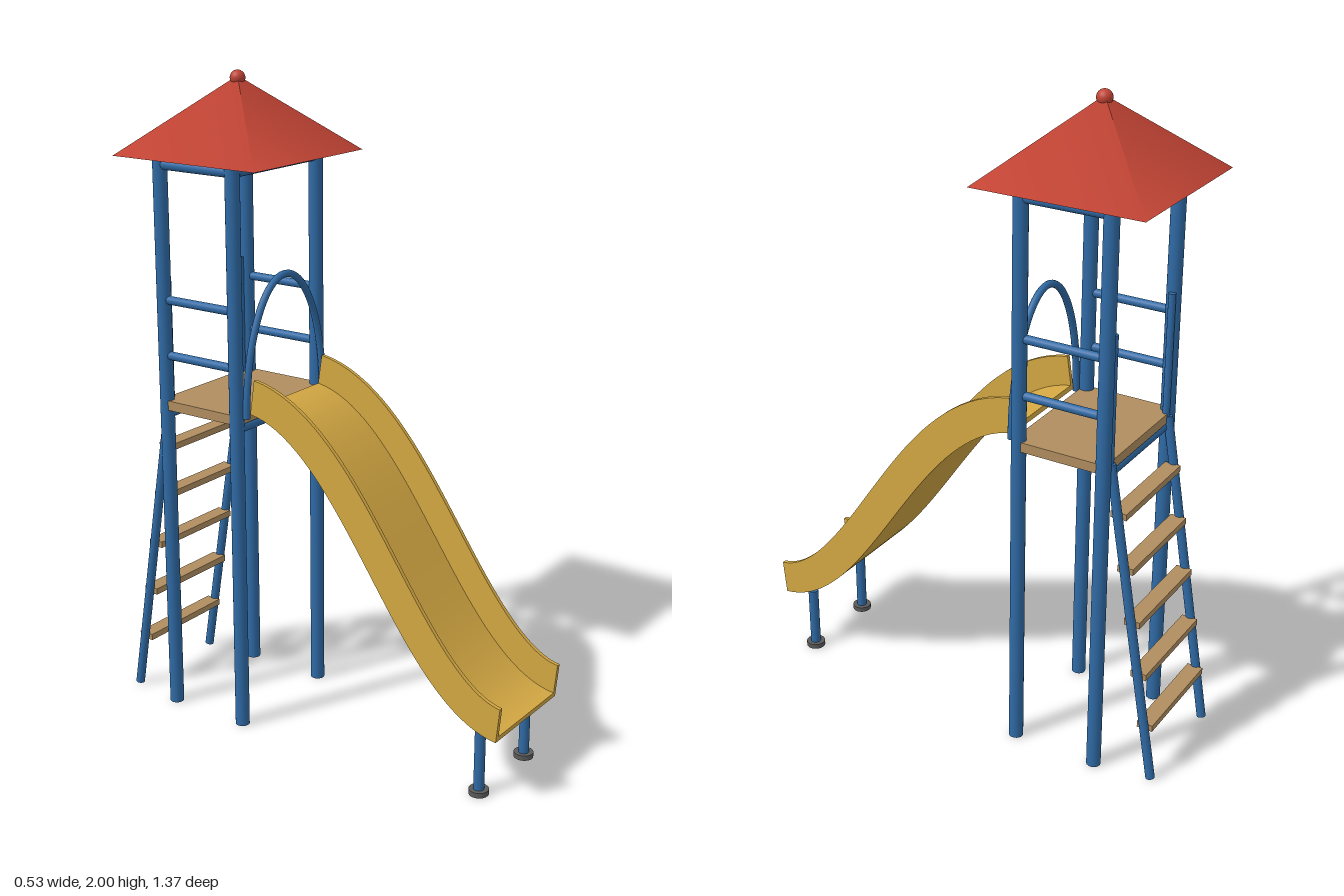
import * as THREE from 'three';
import { toCreasedNormals } from 'three/addons/utils/BufferGeometryUtils.js';

const material = (color, side = THREE.FrontSide) => {
  const m = new THREE.MeshStandardMaterial({ color: 0xcccccc, side });
  m.color.set(color);
  return m;
};

export function createModel() {
  const model = new THREE.Group();
  const blue = material(0x2f6aa5), wood = material(0xb08d5f), yellow = material(0xd4a843);
  const red = material(0xc24434, THREE.DoubleSide), grey = material(0x5a5a5a);

  const add = (name, geometry, mat, x = 0, y = 0, z = 0) => {
    const mesh = new THREE.Mesh(geometry, mat);
    mesh.name = name;
    mesh.position.set(x, y, z);
    model.add(mesh);
    return mesh;
  };
  // Round bar between two points
  const bar = (name, from, to, r) => {
    const a = new THREE.Vector3(...from), b = new THREE.Vector3(...to);
    const dir = b.clone().sub(a);
    const mesh = add(name, new THREE.CylinderGeometry(r, r, dir.length(), 20), blue);
    mesh.position.copy(a).add(b).multiplyScalar(0.5);
    mesh.quaternion.setFromUnitVectors(new THREE.Vector3(0, 1, 0), dir.normalize());
  };

  const postX = 0.2, frontZ = -0.222, backZ = -0.493, midZ = -0.357;

  // Tower posts, guard rails, ladder rails and handles, mirrored left and right
  for (const s of [-1, 1]) {
    const x = s * postX;
    for (const z of [frontZ, backZ]) bar('post', [x, 0, z], [x, 1.758, z], 0.022);
    bar('topSideBeam', [x, 1.738, frontZ], [x, 1.738, backZ], 0.016);
    for (const y of [1.16, 1.332]) bar('guardRail', [x, y, frontZ], [x, y, backZ], 0.013);
    bar('ladderRail', [s * 0.178, 0.005, -0.672], [s * 0.178, 1.01, -0.505], 0.014);
    bar('ladderHandle', [s * 0.174, 0.99, -0.5], [s * 0.174, 1.395, -0.5], 0.011);
  }
  // Cross beams under the roof and under the platform
  for (const z of [frontZ, backZ]) {
    bar('topCrossBeam', [-postX, 1.738, z], [postX, 1.738, z], 0.016);
    bar('platformBeam', [-postX, 0.975, z], [postX, 0.975, z], 0.016);
  }

  add('platform', new THREE.BoxGeometry(0.43, 0.03, 0.3), wood, 0, 1.005, midZ);

  // Ladder steps
  for (let i = 0; i < 5; i++) {
    const y = 0.175 + i * 0.169;
    add('ladderStep', new THREE.BoxGeometry(0.345, 0.02, 0.05), wood, 0, y, -0.672 + y * 0.166);
  }

  // Entry arch above the slide
  const archPoints = [];
  for (let i = 0; i <= 24; i++) {
    const t = (i / 24) * Math.PI;
    archPoints.push(new THREE.Vector3(0.19 * Math.cos(t), 1.01 + 0.403 * Math.sin(t), -0.192));
  }
  add('entryArch', new THREE.TubeGeometry(new THREE.CatmullRomCurve3(archPoints), 64, 0.011, 12), blue);

  // Slide: a side band of given height along the curve, extruded across x
  const curve = new THREE.CubicBezierCurve(
    new THREE.Vector2(-0.19, 1.02), new THREE.Vector2(0.15, 0.97),
    new THREE.Vector2(0.34, 0.24), new THREE.Vector2(0.675, 0.207));
  const slideBand = (height, width) => {
    const lower = [], upper = [];
    for (let i = 0; i <= 40; i++) {
      const p = curve.getPoint(i / 40), t = curve.getTangent(i / 40);
      lower.push(p);
      upper.unshift(new THREE.Vector2(p.x - t.y * height, p.y + t.x * height));
    }
    const geometry = new THREE.ExtrudeGeometry(new THREE.Shape([...lower, ...upper]),
      { depth: width, bevelEnabled: false });
    geometry.translate(0, 0, -width / 2).rotateY(-Math.PI / 2);
    return toCreasedNormals(geometry, 0.6);
  };
  add('slideBed', slideBand(0.015, 0.326), yellow);
  for (const s of [-1, 1]) {
    add('slideWall', slideBand(0.108, 0.013), yellow, s * 0.169);
    bar('slideLeg', [s * 0.132, 0.01, 0.6], [s * 0.132, 0.213, 0.6], 0.016);
    add('slideFoot', new THREE.CylinderGeometry(0.03, 0.03, 0.016, 20), grey, s * 0.132, 0.008, 0.6);
  }

  // Hollow pyramid roof with a round finial
  const roof = new THREE.ConeGeometry(0.263 * Math.SQRT2, 0.225, 4, 1, true);
  add('roof', roof.rotateY(Math.PI / 4), red, 0, 1.8705, midZ);
  add('roofFinial', new THREE.SphereGeometry(0.023, 20, 14), red, 0, 1.977, midZ);

  return model;
}
